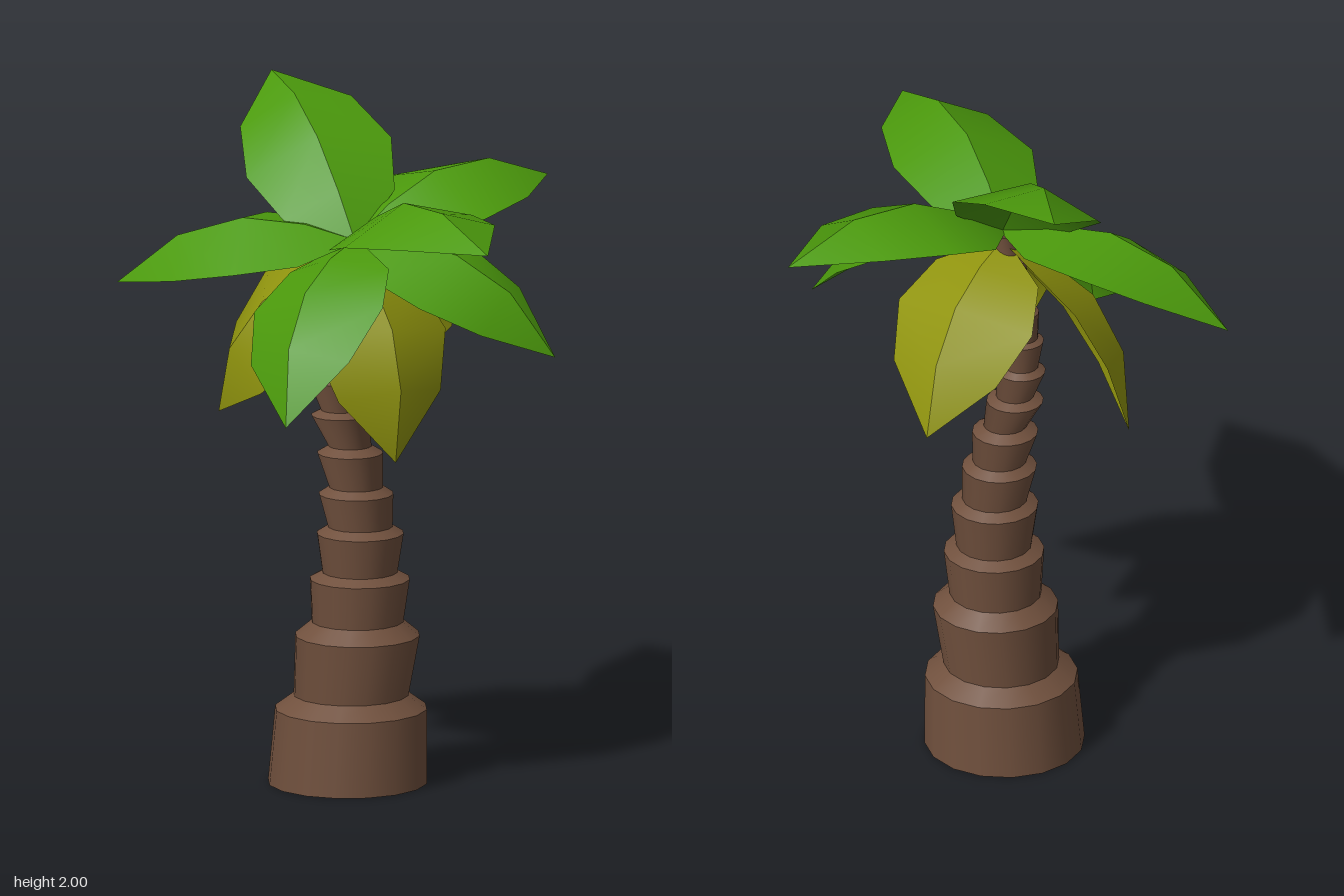
import * as THREE from 'three';

const bark = new THREE.MeshStandardMaterial({ color: 0x70503d, side: THREE.DoubleSide });
bark.name = 'bark brown';
const green = new THREE.MeshStandardMaterial({ color: 0x4b990c, side: THREE.DoubleSide });
green.name = 'leaf green';
const yellow = new THREE.MeshStandardMaterial({ color: 0x90940e, side: THREE.DoubleSide });
yellow.name = 'dry leaf yellow';

// Trunk segments: bottom y, bottom radius, top y, top radius, top centre x, top centre z
const SEGMENTS = [
  [0.00, 0.233, 0.22, 0.222, -0.041, 0.020],
  [0.26, 0.168, 0.44, 0.182, -0.018, 0.022],
  [0.48, 0.134, 0.61, 0.146, -0.004, 0.032],
  [0.63, 0.110, 0.75, 0.127, 0.008, 0.050],
  [0.77, 0.095, 0.87, 0.109, 0.005, 0.068],
  [0.89, 0.079, 0.99, 0.096, -0.013, 0.072],
  [1.01, 0.063, 1.10, 0.083, -0.043, 0.080],
  [1.115, 0.055, 1.20, 0.071, -0.060, 0.088],
  [1.215, 0.050, 1.30, 0.063, -0.062, 0.090],
  [1.31, 0.046, 1.39, 0.057, -0.050, 0.092],
  [1.40, 0.042, 1.47, 0.052, -0.034, 0.092],
  [1.48, 0.038, 1.55, 0.046, -0.014, 0.092],
  [1.56, 0.034, 1.63, 0.038, 0.008, 0.094],
];

// Open cylinder sheared so that its two rims have different centres
function ringBand(name, y0, r0, c0, y1, r1, c1) {
  const geo = new THREE.CylinderGeometry(r1, r0, y1 - y0, 16, 1, true);
  geo.translate(0, (y0 + y1) / 2, 0);
  const p = geo.attributes.position;
  for (let i = 0; i < p.count; i++) {
    const t = (p.getY(i) - y0) / (y1 - y0);
    p.setX(i, p.getX(i) + c0[0] + (c1[0] - c0[0]) * t);
    p.setZ(i, p.getZ(i) + c0[1] + (c1[1] - c0[1]) * t);
  }
  const mesh = new THREE.Mesh(geo, bark);
  mesh.name = name;
  return mesh;
}

function makeTrunk() {
  const trunk = new THREE.Group();
  trunk.name = 'trunk';
  let centre = [-0.05, 0.024];
  SEGMENTS.forEach(([y0, r0, y1, r1, x, z], i) => {
    const top = [x, z];
    trunk.add(ringBand('trunkSegment', y0, r0, centre, y1, r1, top));
    const next = SEGMENTS[i + 1];
    // sloping shoulder up to the next, narrower segment
    if (next) trunk.add(ringBand('trunkShoulder', y1, r1, top, next[0], next[1], top));
    centre = top;
  });
  return trunk;
}

// Leaf cross-sections: position along the chord, rib height, half width, edge drop below the rib
const SECTIONS = [
  [0.00, 0.000, 0.012, 0.005],
  [0.18, 0.075, 0.170, 0.060],
  [0.42, 0.130, 0.222, 0.085],
  [0.70, 0.112, 0.170, 0.072],
  [1.00, 0.000, 0.000, 0.000],
];

// Arched leaf folded along its rib, from the crown to the given tip, rolled about its length
function makeLeaf(name, material, base, tip, roll) {
  const chord = tip.clone().sub(base);
  const along = chord.clone().normalize();
  const side = new THREE.Vector3(0, 1, 0).cross(along).normalize().applyAxisAngle(along, roll);
  const up = along.clone().cross(side);
  const leaf = new THREE.Group();
  leaf.name = name;
  for (const s of [1, -1]) {
    const pos = [], index = [];
    SECTIONS.forEach(([t, bow, width, drop], i) => {
      const rib = base.clone().addScaledVector(chord, t).addScaledVector(up, bow);
      const edge = rib.clone().addScaledVector(side, s * width).addScaledVector(up, -drop);
      pos.push(...rib.toArray(), ...edge.toArray());
      if (i === 0) return;
      const a = 2 * i - 2, b = a + 1, c = a + 2, d = a + 3;
      const last = i === SECTIONS.length - 1;
      if (s > 0) index.push(a, c, b);
      else index.push(a, b, c);
      if (!last) index.push(...(s > 0 ? [b, c, d] : [b, d, c]));
    });
    const geo = new THREE.BufferGeometry();
    geo.setAttribute('position', new THREE.Float32BufferAttribute(pos, 3));
    geo.setIndex(index);
    geo.computeVertexNormals();
    const half = new THREE.Mesh(geo, material);
    half.name = s > 0 ? 'leafHalfA' : 'leafHalfB';
    leaf.add(half);
  }
  return leaf;
}

export function createModel() {
  const model = new THREE.Group();
  model.name = 'palmTree';
  model.add(makeTrunk());

  // Leaf tips: x, y, z, roll
  const crown = new THREE.Vector3(0.02, 1.63, 0.102);
  const greenTips = [
    [0.257, 1.72, -0.59, 0.12],
    [0.668, 1.72, 0.43, 0.1],
    [-0.495, 2.0, -0.288, -0.25],
    [-0.67, 1.46, 0.29, -0.22],
    [0.077, 1.17, 0.583, 0.2],
    [0.585, 1.31, -0.086, 0.25],
  ];
  const dryTips = [
    [-0.4, 1.085, 0.167, -0.75],
    [0.23, 1.015, 0.22, 0],
    [-0.055, 1.155, -0.336, 0],
  ];
  for (const [x, y, z, roll] of greenTips)
    model.add(makeLeaf('greenLeaf', green, crown, new THREE.Vector3(x, y, z), roll));
  const dryBase = crown.clone().setY(1.6);
  for (const [x, y, z, roll] of dryTips)
    model.add(makeLeaf('dryLeaf', yellow, dryBase, new THREE.Vector3(x, y, z), roll));
  return model;
}
